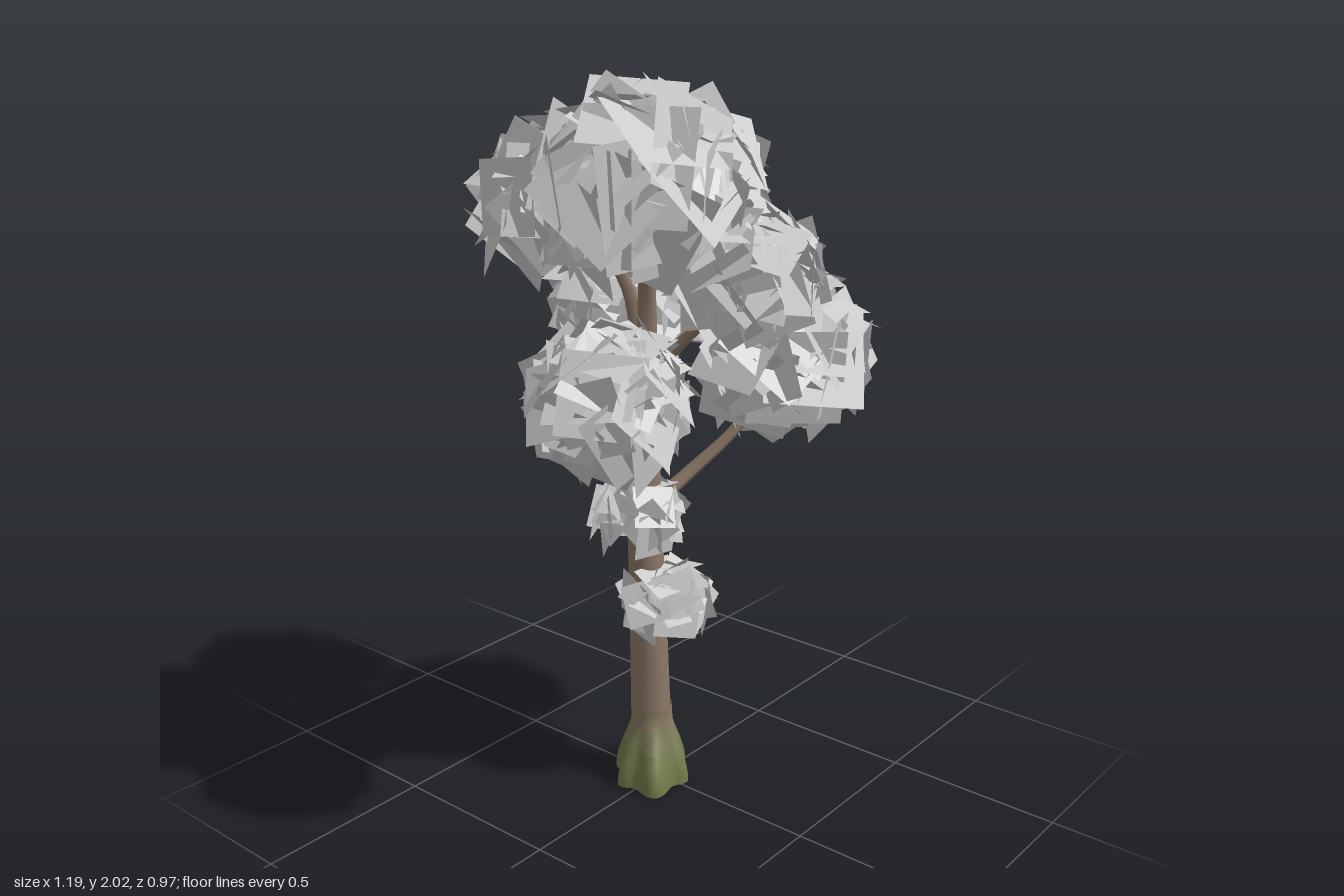
import * as THREE from 'three';
import { mergeGeometries } from 'three/addons/utils/BufferGeometryUtils.js';

const V = (x, y, z) => new THREE.Vector3(x, y, z);
const paint = (color) => new THREE.MeshStandardMaterial({ color, roughness: 0.9, side: THREE.DoubleSide });

function seeded(seed) {
  let s = seed * 7919 + 17;
  return () => ((s = (s * 16807) % 2147483647) / 2147483647);
}

// Tube along a smooth path, tapering from r0 to r1
function taperedLimb(name, points, r0, r1, sides, material) {
  const curve = new THREE.CatmullRomCurve3(points.map((p) => V(...p)));
  const steps = 16;
  const geo = new THREE.TubeGeometry(curve, steps, r0, sides);
  const pos = geo.attributes.position;
  const v = V(0, 0, 0);
  for (let i = 0; i < pos.count; i++) {
    const t = Math.floor(i / (sides + 1)) / steps;
    const centre = curve.getPointAt(t);
    v.fromBufferAttribute(pos, i).sub(centre).multiplyScalar(1 + (r1 / r0 - 1) * t).add(centre);
    pos.setXYZ(i, v.x, v.y, v.z);
  }
  geo.computeVertexNormals();
  const mesh = new THREE.Mesh(geo, material);
  mesh.name = name;
  return mesh;
}

// One band of the lobed root base between heights y0 and y1, longest on one diagonal
function rootBand(name, y0, y1, material) {
  const geo = new THREE.CylinderGeometry(1, 1, y1 - y0, 60, 8, true);
  geo.translate(0, (y0 + y1) / 2, 0);
  const pos = geo.attributes.position;
  for (let i = 0; i < pos.count; i++) {
    const y = pos.getY(i);
    const a = Math.atan2(pos.getZ(i), pos.getX(i));
    const b = a + Math.PI / 4;
    const k = THREE.MathUtils.clamp(1 - y / 0.21, 0, 1);
    const flare = Math.pow(Math.sin(k * Math.PI / 2), 1.7);
    const r = 0.057 + flare * (0.05 + 0.016 * Math.cos(6 * b) + 0.017 * Math.cos(2 * b));
    pos.setXYZ(i, -0.003 + r * 1.06 * Math.cos(a), y, -0.023 + r * Math.sin(a));
  }
  geo.computeVertexNormals();
  const mesh = new THREE.Mesh(geo, material);
  mesh.name = name;
  return mesh;
}

// Large overlapping leaf cards whose corners reach an ellipsoid, each with a smaller card behind it
function leafCluster(name, centre, radii, count, lowest, seed, material) {
  const rand = seeded(seed);
  const dummy = new THREE.Object3D();
  const size = V(...radii);
  const mean = (radii[0] + radii[1] + radii[2]) / 3;
  const cards = [];
  const addCard = (dir, depth, side, wobble) => {
    dummy.position.copy(dir).multiplyScalar(depth).multiply(size);
    const tilt = V(rand() - 0.5, rand() - 0.3, rand() - 0.5).multiplyScalar(wobble);
    dummy.lookAt(dummy.position.clone().add(dir).add(tilt));
    dummy.rotateZ(rand() * Math.PI);
    dummy.updateMatrix();
    cards.push(new THREE.PlaneGeometry(side * mean, side * mean).applyMatrix4(dummy.matrix));
  };
  for (let i = 0; i < count; i++) {
    const y = 1 - (1 - lowest) * (i + 0.5) / count;
    const a = i * 2.39996 + rand() * 0.4;
    const ring = Math.sqrt(1 - y * y);
    const dir = V(ring * Math.cos(a), y, ring * Math.sin(a));
    const side = 0.85 + 0.35 * rand();
    addCard(dir, Math.sqrt(1 - side * side / 2) * (1 + 0.08 * rand()), side, 0.6);
    addCard(dir, 0.6 + 0.12 * rand(), 0.45 + 0.3 * rand(), 2);
  }
  const mesh = new THREE.Mesh(mergeGeometries(cards), material);
  mesh.position.set(...centre);
  mesh.name = name;
  return mesh;
}

export function createModel() {
  const tree = new THREE.Group();
  tree.name = 'tree';
  const bark = paint(0x8c7868);
  const leaf = paint(0xcccccc);

  // Mossy root flare fading into bark
  tree.add(rootBand('mossyRoots', 0, 0.11, paint(0x727d4b)));
  tree.add(rootBand('mossFade', 0.11, 0.17, paint(0x7c7b58)));
  tree.add(rootBand('rootCollar', 0.17, 0.23, paint(0x86795f)));

  // Trunk up to the fork
  tree.add(taperedLimb('trunk',
    [[-0.005, 0.2, -0.025], [-0.008, 0.5, -0.032], [-0.018, 0.85, -0.037], [-0.03, 1.22, -0.03]],
    0.057, 0.042, 16, bark));

  // Branches, each reaching into a leaf cluster: start radius, then path
  const branches = [
    [0.022, [[0.0, 0.84, -0.02], [0.1, 0.93, 0.04], [0.2, 1.05, 0.12], [0.31, 1.25, 0.18]]],
    [0.022, [[-0.02, 0.93, -0.03], [-0.11, 1.01, 0.03], [-0.22, 1.09, 0.08], [-0.35, 1.24, 0.13]]],
    [0.022, [[-0.02, 1.0, -0.03], [0.04, 1.08, -0.09], [0.1, 1.18, -0.17], [0.17, 1.36, -0.27]]],
    [0.022, [[-0.03, 1.15, -0.02], [-0.01, 1.28, 0.05], [0.02, 1.4, 0.16], [0.04, 1.52, 0.27]]],
    [0.034, [[-0.03, 1.17, -0.025], [-0.05, 1.45, 0.0], [-0.2, 1.74, 0.09]]],
    [0.03, [[-0.03, 1.17, -0.03], [0.02, 1.45, -0.05], [0.21, 1.72, -0.1]]],
    [0.026, [[-0.03, 1.17, -0.035], [-0.06, 1.46, -0.06], [-0.2, 1.68, -0.16]]],
  ];
  branches.forEach(([r, path], i) => tree.add(taperedLimb('branch' + (i + 1), path, r, 0.01, 8, bark)));

  // Leaf clusters: name, centre, radii, card count, lowest direction
  const clusters = [
    ['crownFront', [-0.2, 1.75, 0.09], [0.25, 0.24, 0.28], 40, -0.65],
    ['crownLeft', [0.21, 1.72, -0.1], [0.22, 0.22, 0.25], 36, -0.65],
    ['crownBack', [-0.2, 1.69, -0.16], [0.23, 0.2, 0.23], 34, -0.65],
    ['midFront', [0.04, 1.51, 0.26], [0.2, 0.18, 0.2], 34, -0.65],
    ['midBack', [0.17, 1.36, -0.27], [0.21, 0.21, 0.21], 34, -0.65],
    ['lowerLeft', [0.32, 1.24, 0.18], [0.26, 0.24, 0.25], 40, -0.65],
    ['lowerRight', [-0.355, 1.25, 0.14], [0.21, 0.2, 0.22], 36, -0.65],
    ['upperTrunkLeaves', [-0.04, 0.82, -0.04], [0.14, 0.11, 0.14], 20, -0.4],
    ['lowerTrunkLeaves', [0.01, 0.57, 0.02], [0.14, 0.11, 0.14], 18, -0.4],
  ];
  clusters.forEach(([name, c, r, n, low], i) => tree.add(leafCluster(name, c, r, n, low, i + 1, leaf)));
  return tree;
}
